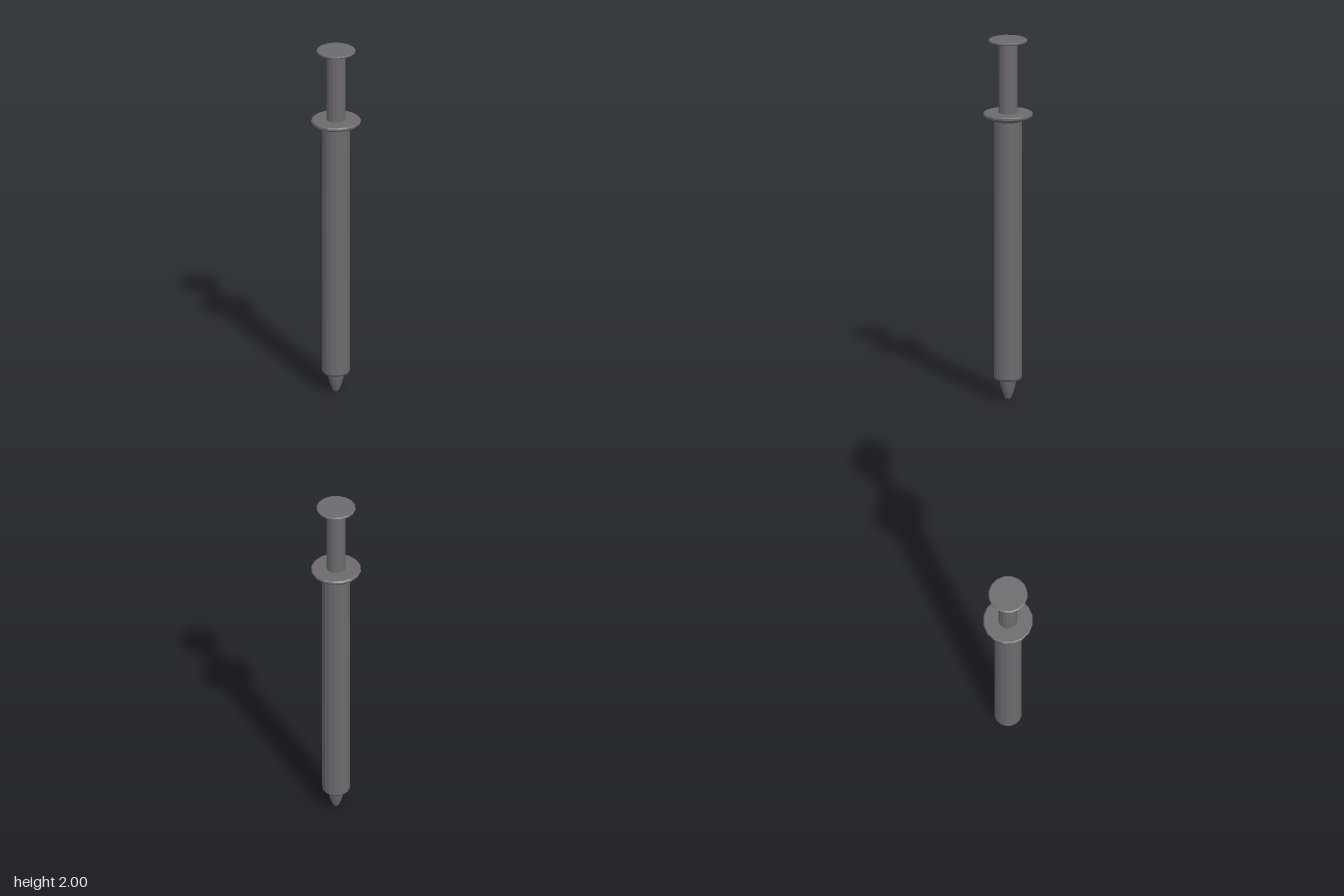
import * as THREE from 'three';

const SIDES = 16;

export function createModel() {
  const group = new THREE.Group();
  const metal = new THREE.MeshStandardMaterial({ color: 0x6c6a6d, flatShading: true });
  metal.name = 'grey metal';

  // Turned part from [radius, height] pairs, bottom to top
  const turned = (name, profile) => {
    const points = profile.map(([r, y]) => new THREE.Vector2(r, y));
    const mesh = new THREE.Mesh(new THREE.LatheGeometry(points, SIDES), metal);
    mesh.name = name;
    group.add(mesh);
  };

  // Rounded point at the bottom
  turned('tip', [[0, 0], [0.012, 0.004], [0.021, 0.018], [0.032, 0.048], [0.041, 0.082], [0.048, 0.115]]);

  // Long sleeve with a bevelled lower rim
  turned('barrel', [[0, 0.112], [0.067, 0.112], [0.075, 0.124], [0.075, 1.555]]);

  // Flared collar at the top of the sleeve
  turned('collar', [[0.07, 1.55], [0.079, 1.55], [0.129, 1.571], [0.135, 1.579], [0.135, 1.588], [0.128, 1.594], [0, 1.594]]);

  // Thin rod and its flat head
  turned('plunger', [[0.051, 1.59], [0.051, 1.988]]);
  turned('head', [[0, 1.986], [0.1, 1.986], [0.106, 1.99], [0.106, 1.996], [0.1, 2], [0, 2]]);

  return group;
}
